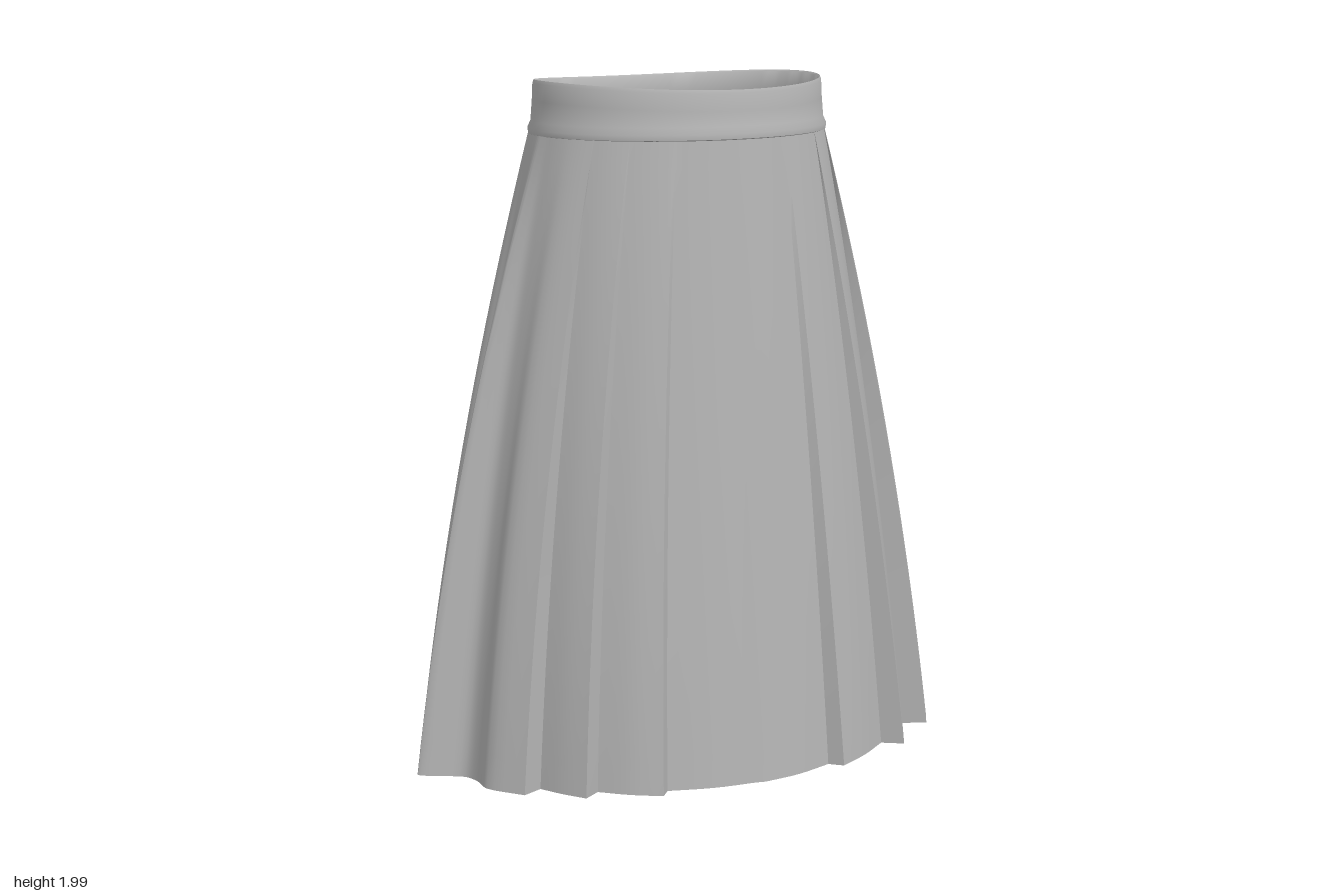
import * as THREE from 'three';
import { toCreasedNormals } from 'three/addons/utils/BufferGeometryUtils.js';

const fabric = new THREE.MeshStandardMaterial({ color: 0xb4b4b4, side: THREE.DoubleSide });
fabric.name = 'grey fabric';

// Hem outline: each pleat starts at its raised edge and falls to its tucked edge.
// Side folds are the soft waves at the hips.
const rightPleats = [
  [[-0.03, 0.51], [0.09, 0.5], [0.22, 0.465]],
  [[0.25, 0.503], [0.36, 0.45], [0.47, 0.38]],
  [[0.52, 0.427], [0.58, 0.34], [0.63, 0.25]],
  [[0.7, 0.295], [0.765, 0.19], [0.755, 0.12], [0.765, 0.06], [0.83, 0.02], [0.88, -0.015],
    [0.84, -0.05], [0.775, -0.07], [0.75, -0.13], [0.77, -0.21], [0.7, -0.317]],
  [[0.64, -0.28], [0.57, -0.38], [0.507, -0.465]],
  [[0.48, -0.41], [0.42, -0.46], [0.34, -0.507]],
];
const backPanel = [[0.31, -0.48], [0.15, -0.51], [0, -0.512], [-0.15, -0.51], [-0.31, -0.48]];
const leftPleats = rightPleats.map((p) => p.map(([x, z]) => [-x, z]).reverse()).reverse();
leftPleats[3] = [[-0.63, 0.26], [-0.6, 0.33], [-0.56, 0.4]];
leftPleats[4] = [[-0.5, 0.36], [-0.43, 0.43], [-0.355, 0.482]];
leftPleats[5] = [[-0.32, 0.445], [-0.19, 0.485], [-0.055, 0.503]];

// Smooth curve within each pleat, straight step between pleats
function hemOutline() {
  const out = [];
  for (const pleat of [...rightPleats, backPanel, ...leftPleats]) {
    const curve = new THREE.CatmullRomCurve3(pleat.map(([x, z]) => new THREE.Vector3(x, 0, z)));
    out.push(...curve.getPoints((pleat.length - 1) * 4));
  }
  return out;
}

// Joins equal-length closed rings, running from bottom to top, into one surface
function loft(rings, crease) {
  const n = rings[0].length;
  const index = [];
  for (let r = 0; r < rings.length - 1; r++) {
    for (let i = 0; i < n; i++) {
      const a = r * n + i, b = r * n + (i + 1) % n;
      index.push(a, b, b + n, a, b + n, a + n);
    }
  }
  const geometry = new THREE.BufferGeometry();
  geometry.setAttribute('position', new THREE.Float32BufferAttribute(
    rings.flat().flatMap((p) => [p.x, p.y, p.z]), 3));
  geometry.setIndex(index);
  return toCreasedNormals(geometry, crease);
}

function ellipse(a, b, zc, yAt, n = 96) {
  return Array.from({ length: n }, (_, i) => {
    const t = (i / n) * Math.PI * 2;
    const x = a * Math.sin(t);
    return new THREE.Vector3(x, yAt(x), zc + b * Math.cos(t));
  });
}

// Hips flare quickly under the waist, then ease out to the hem (0 = waist, 1 = hem)
const flare = (s) => 1.43 * s - 0.43 * s * s;
const TOP = 1.86;

// Rings between a waist ellipse and a hem outline
function skirtRings(hem, waistX, waistZ, lift) {
  const rings = [];
  for (let r = 0; r <= 20; r++) {
    const s = 1 - r / 20;
    rings.push(hem.map((p) => {
      const angle = Math.atan2(p.z / 0.5, p.x / (p.z < 0 ? 0.6 : 0.72));
      const wx = waistX * Math.cos(angle), wz = -0.02 + waistZ * Math.sin(angle);
      const bottom = 0.01 + lift + 0.02 * (p.x / 0.88) ** 2;
      return new THREE.Vector3(
        THREE.MathUtils.lerp(wx, p.x, flare(s)),
        THREE.MathUtils.lerp(TOP, bottom, s),
        THREE.MathUtils.lerp(wz, p.z, s * 1.08 - 0.08 * s * s));
    }));
  }
  return rings;
}

export function createModel() {
  const group = new THREE.Group();
  group.name = 'pleatedSkirt';
  const add = (name, geometry) => {
    const mesh = new THREE.Mesh(geometry, fabric);
    mesh.name = name;
    group.add(mesh);
  };

  add('pleats', loft(skirtRings(hemOutline(), 0.452, 0.36, 0), 0.6));
  add('lining', loft(skirtRings(ellipse(0.71, 0.45, 0, () => 0), 0.44, 0.348, 0.01), 0.6));

  // Waistband: outer wall, rolled top edge and inner wall; dips at front and back
  const band = [
    [0.445, 0.353, 1.84], [0.457, 0.365, 1.845], [0.459, 0.366, 1.86], [0.45, 0.358, 1.88],
    [0.446, 0.352, 1.94], [0.444, 0.349, 1.99], [0.44, 0.345, 2], [0.434, 0.339, 1.995],
    [0.432, 0.338, 1.94], [0.434, 0.342, 1.87], [0.444, 0.352, 1.84],
  ];
  add('waistband', loft(band.map(([a, b, y]) => ellipse(a, b, -0.017,
    (x) => y - (y > 1.9 ? 0.018 * (1 - (x / a) ** 2) : 0))), 0.9));

  return group;
}
